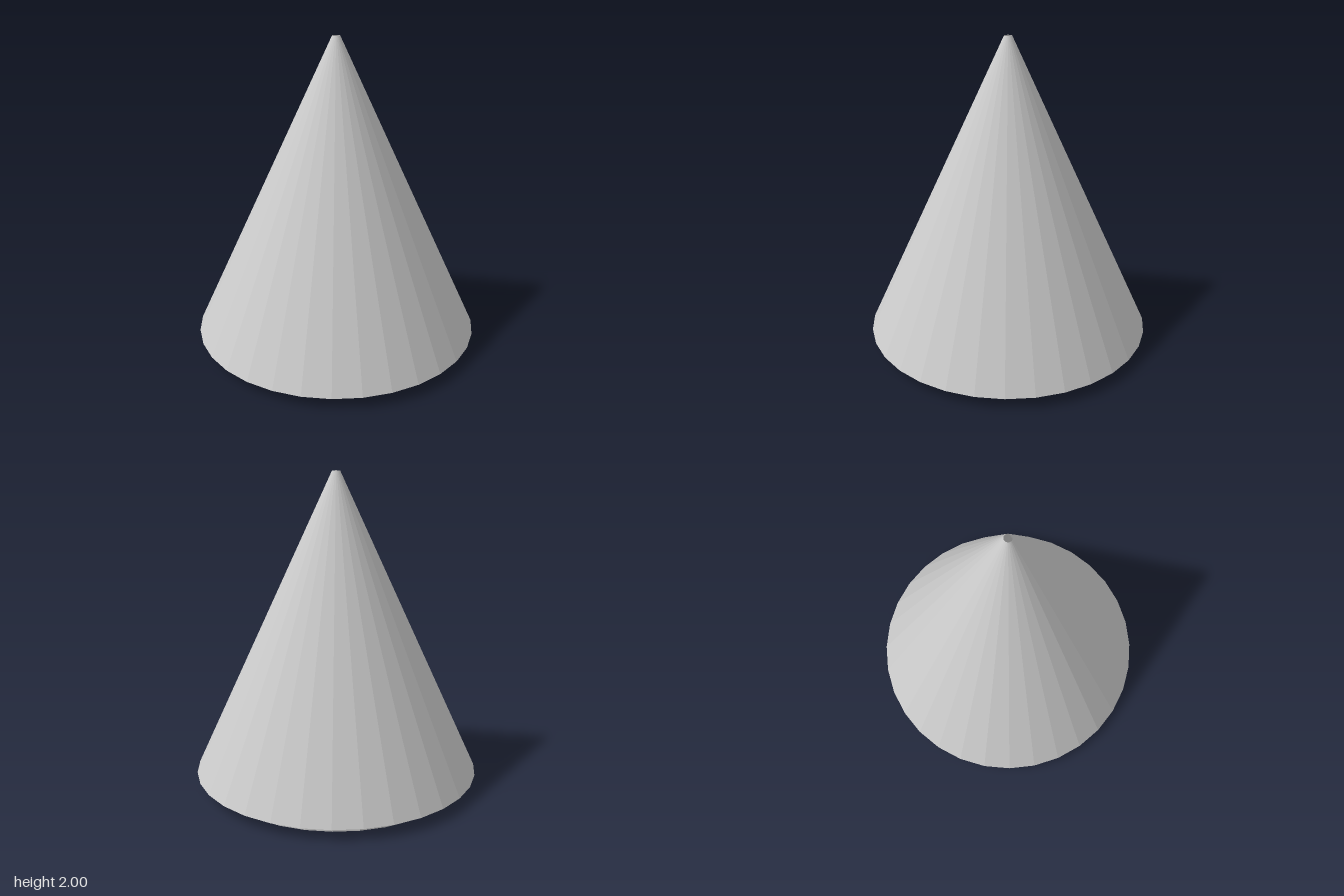
import * as THREE from 'three';

const SIDES = 32;

export function createModel() {
  const group = new THREE.Group();
  group.name = 'hollowCone';
  const material = new THREE.MeshStandardMaterial({
    color: 0xcccccc, flatShading: true, side: THREE.DoubleSide,
  });

  const toPoints = (list) => list.map(([r, y]) => new THREE.Vector2(r, y));
  const add = (name, geometry) => {
    const mesh = new THREE.Mesh(geometry, material);
    mesh.name = name;
    group.add(mesh);
    return mesh;
  };
  const revolve = (name, profile, start = 0, sweep = Math.PI * 2) => add(name,
    new THREE.LatheGeometry(toPoints(profile), SIDES * sweep / (Math.PI * 2), start, sweep));

  // Outer cone with its flat overhang, open at the tip
  revolve('outerCone', [[0.81, 0.07], [0.92, 0.07], [0.025, 2]]);

  // Inner bore tapering to the tip hole
  revolve('innerBore', [[0.025, 2], [0.7, 0.17]]);

  // Left half: thin skirt around a shallow recess
  revolve('leftSkirt', [[0.81, 0], [0.81, 0.07]], 0, Math.PI);
  revolve('leftRecess', [[0.7, 0.17], [0.755, 0.07], [0.81, 0.07]], 0, Math.PI);

  // Right half: solid lip
  revolve('rightLip', [[0.7, 0.17], [0.71, 0], [0.81, 0], [0.81, 0.07]], Math.PI, Math.PI);

  // End faces of the solid lip, front and back
  const lipSection = new THREE.Shape(toPoints(
    [[0.71, 0], [0.81, 0], [0.81, 0.07], [0.755, 0.07], [0.7, 0.17]]));
  for (const side of [1, -1]) {
    const end = add(side > 0 ? 'frontLipEnd' : 'backLipEnd', new THREE.ShapeGeometry(lipSection));
    end.rotation.y = -side * Math.PI / 2;
  }

  return group;
}
